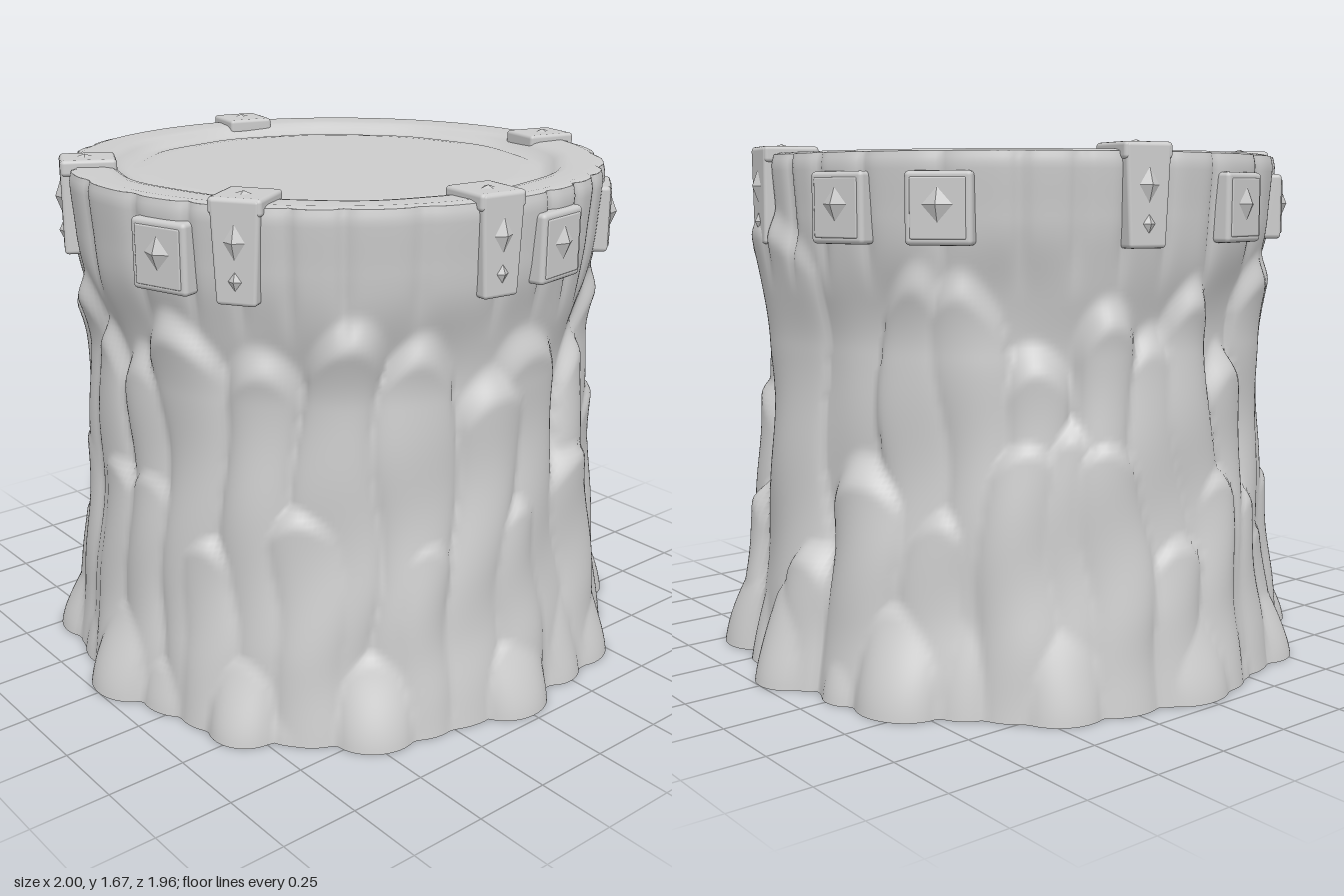
import * as THREE from 'three';
import { RoundedBoxGeometry } from 'three/addons/geometries/RoundedBoxGeometry.js';

const DEG = Math.PI / 180;
const RIM_Y = 1.635;
const RIM_SHIFT = -0.012;

function smooth(a, b, x) {
  const t = Math.min(1, Math.max(0, (x - a) / (b - a)));
  return t * t * (3 - 2 * t);
}

function seeded(seed) {
  return () => {
    seed = (seed * 16807) % 2147483647;
    return seed / 2147483647;
  };
}

// Radius of the bare core: flared foot, narrow waist, overhanging band
function coreRadius(y) {
  return 0.785 + 0.07 * Math.pow(1 - Math.min(y, 1) / 1, 2) + 0.075 * smooth(1.05, 1.45, y) + 0.014 * smooth(1.4, 1.64, y);
}

// Rock columns in tiers; lean in degrees per unit of height, taper is depth lost towards the top
function makeColumns() {
  const rand = seeded(4217);
  const columns = [];
  const column = (angle, width, top, depth, lean, taper = 0.15) => columns.push({ angle, width, top, depth, lean, taper });

  // foot boulders, large and small by turns
  for (let i = 0; i < 24; i++) {
    const angle = i * 15;
    const jitter = i % 6 === 0 ? 0 : rand() * 6 - 3;
    if (i % 2 === 0) column(angle + jitter, 8 + rand() * 2, 0.32 + rand() * 0.14, 0.135 + 0.01 * Math.cos(2 * angle * DEG), 0, 0.65);
    else column(angle + jitter, 5.5 + rand() * 3, 0.2 + rand() * 0.24, 0.06 + rand() * 0.04, 0, 0.5);
  }
  // middle columns: angle, half width, top
  for (const [angle, width, top] of [
    [28, 7, 0.6], [42, 13, 0.95], [64, 11, 0.84], [87, 8, 0.76], [112, 8, 0.7], [135, 9, 0.8],
    [156, 8, 0.68], [175, 9, 0.84], [306, 10, 0.88], [324, 9, 0.66], [341, 10, 0.76], [357, 8, 0.5],
  ]) column(angle, width, top, 0.07 + rand() * 0.03, 0);
  // tall columns: angle, half width, top, lean
  for (const [angle, width, top, lean] of [
    [10, 17, 1.5, 3], [45, 12, 1.32, 3], [62, 9, 1.16, -4], [79, 10, 1.24, 9], [98, 9, 1.14, -8], [114, 9, 1.28, -4],
    [130, 9, 1.34, -3], [145, 9, 1.24, 2], [161, 9, 1.32, 3], [176, 8, 1.18, -2], [316, 8, 1.32, 2], [330, 8, 1.34, -3],
  ]) column(angle, width, top, 0.045 + rand() * 0.03, lean);
  // irregular columns round the back
  for (let angle = 186; angle < 306; angle += 12) {
    column(angle + rand() * 6, 7 + rand() * 3, 0.5 + rand() * 0.45, 0.075 + rand() * 0.025, rand() * 8 - 4);
    column(angle + 5 + rand() * 6, 7 + rand() * 2, 1.04 + rand() * 0.32, 0.05 + rand() * 0.025, rand() * 10 - 5);
  }
  return columns;
}
const COLUMNS = makeColumns();

function rockRadius(angle, y) {
  // sideways wander keeps the crevices from running straight
  const wander = 1.8 * Math.sin(y * 7 + angle * 5) * smooth(0.1, 0.5, y);
  let bump = 0;
  for (const c of COLUMNS) {
    const offset = angle / DEG + wander - c.angle - c.lean * (y - 0.5);
    const u = (((offset + 180) % 360 + 360) % 360 - 180) / c.width;
    if (Math.abs(u) >= 1) continue;
    const domeTop = c.top - 0.12 * u * u;
    const cap = 1 - smooth(domeTop - 0.12, domeTop, y);
    const slim = 1 - c.taper * smooth(0, c.top, y);
    bump = Math.max(bump, c.depth * slim * Math.pow(1 - u * u, 0.5) * cap);
  }
  // soft undulation, and splits in the rim band
  const wave = 0.01 * Math.sin(angle * 9 + y * 5) * Math.sin(y * 8 - angle * 4) * smooth(0, 0.3, y) * (1 - smooth(1.2, 1.45, y));
  const phase = ((angle / (2 * Math.PI)) * 29 + 0.3 * Math.sin(angle * 5) + 29) % 1;
  const split = -0.02 * Math.pow(Math.abs(phase * 2 - 1), 4) * smooth(1.2, 1.4, y);
  const edge = -0.008 * smooth(RIM_Y - 0.03, RIM_Y, y);
  const shift = RIM_SHIFT * Math.cos(angle) * smooth(1, 1.4, y);
  return coreRadius(y) + bump + wave + split + edge + shift;
}

// Closed rings of points joined into a smooth skin; point(row, angle) gives [radius, height]
function ringSurface(rows, segments, point) {
  const positions = [], index = [];
  for (let i = 0; i < rows; i++) {
    for (let j = 0; j < segments; j++) {
      const angle = (j / segments) * 2 * Math.PI;
      const [r, y] = point(i, angle);
      positions.push(r * Math.cos(angle), y, r * Math.sin(angle));
      if (i === rows - 1) continue;
      const a = i * segments + j, b = i * segments + (j + 1) % segments;
      index.push(a, a + segments, b, b, a + segments, b + segments);
    }
  }
  const geometry = new THREE.BufferGeometry();
  geometry.setAttribute('position', new THREE.Float32BufferAttribute(positions, 3));
  geometry.setIndex(index);
  geometry.computeVertexNormals();
  return geometry;
}

export function createModel() {
  const model = new THREE.Group();
  model.name = 'rockPedestal';
  const stone = new THREE.MeshStandardMaterial({ color: 0xcccccc, side: THREE.DoubleSide });
  stone.name = 'grey stone';

  function add(parent, name, geometry, x = 0, y = 0, z = 0) {
    const mesh = new THREE.Mesh(geometry, stone);
    mesh.name = name;
    mesh.position.set(x, y, z);
    parent.add(mesh);
    return mesh;
  }

  // Group on the rim whose +z points outward
  function mount(name, degrees) {
    const group = new THREE.Group();
    group.name = name;
    group.rotation.y = Math.PI / 2 - degrees * DEG;
    group.position.x = RIM_SHIFT;
    model.add(group);
    return group;
  }

  // Faceted diamond stud
  function stud(parent, y, z, width, height, depth) {
    const mesh = add(parent, 'diamondStud', new THREE.OctahedronGeometry(1), 0, y, z);
    mesh.scale.set(width / 2, height / 2, depth);
  }

  // Craggy wall, open underneath
  const ROWS = 100;
  add(model, 'rockWall', ringSurface(ROWS, 360, (i, angle) => {
    const y = RIM_Y * i / (ROWS - 1);
    return [rockRadius(angle, y), y];
  }));

  // Flat rim rolling down into a shallow dish: radius, height above the rim edge
  const RIM = [[0.84, 0.006], [0.76, 0.004], [0.735, 0], [0.715, -0.012], [0.695, -0.03], [0.67, -0.034], [0.645, -0.028], [0.6, -0.025]];
  add(model, 'rim', ringSurface(RIM.length + 1, 180, (i, angle) => {
    if (i === 0) return [rockRadius(angle, RIM_Y), RIM_Y];
    const [r, dy] = RIM[i - 1];
    const wobble = i > 1 && i < 8 ? 0.005 * Math.sin(angle * 12 + 1) : 0;
    return [r + wobble + RIM_SHIFT * Math.cos(angle), RIM_Y + dy];
  }));
  const floor = add(model, 'dishFloor', new THREE.CircleGeometry(0.602, 90), RIM_SHIFT, RIM_Y - 0.025, 0);
  floor.rotation.x = -Math.PI / 2;

  // Clips hooked over the rim
  for (const degrees of [12.8, 97, 147, 207, 283]) {
    const clip = mount('rimClip', degrees);
    add(clip, 'clipTop', new RoundedBoxGeometry(0.16, 0.05, 0.175, 2, 0.012), 0, 1.637, 0.8);
    const leg = new RoundedBoxGeometry(0.15, 0.3, 0.075, 2, 0.012);
    const p = leg.attributes.position;
    for (let i = 0; i < p.count; i++) p.setX(i, p.getX(i) * (0.9 + p.getY(i) * 0.7));
    add(clip, 'clipLeg', leg, 0, 1.51, 0.852);
    stud(clip, 1.54, 0.888, 0.07, 0.11, 0.02);
    stud(clip, 1.43, 0.888, 0.045, 0.06, 0.014);
    stud(clip, 1.66, 0.81, 0.06, 0.02, 0.03);
  }

  // Square plates on the band between the clips
  for (const degrees of [81, 49, -16, -37.5, -103, -135, 163]) {
    const plate = mount('squarePlate', degrees);
    add(plate, 'plate', new RoundedBoxGeometry(0.2, 0.21, 0.06, 2, 0.014), 0, 1.475, 0.862);
    add(plate, 'raisedPanel', new RoundedBoxGeometry(0.165, 0.175, 0.02, 2, 0.005), 0, 1.475, 0.886);
    stud(plate, 1.485, 0.894, 0.1, 0.11, 0.022);
  }

  return model;
}
